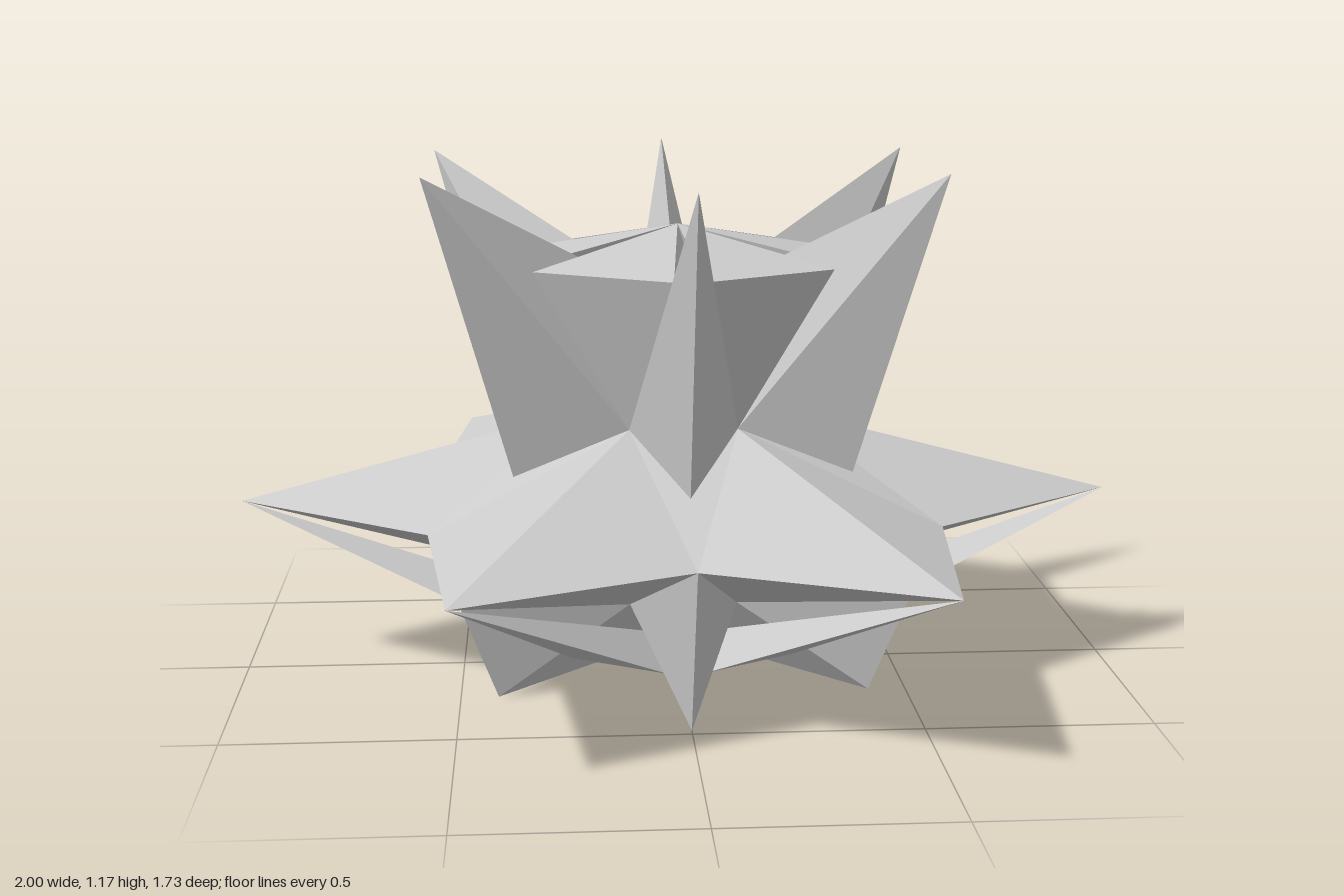
import * as THREE from 'three';
import { ConvexGeometry } from 'three/addons/geometries/ConvexGeometry.js';

const STEP = Math.PI / 3;

// Point at a radius, height and angle around the vertical axis
const polar = (r, y, a) => new THREE.Vector3(r * Math.cos(a), y, r * Math.sin(a));

export function createModel() {
  const group = new THREE.Group();
  const material = new THREE.MeshStandardMaterial({ color: 0xcccccc, flatShading: true, side: THREE.DoubleSide });

  const addSolid = (name, points) => {
    const mesh = new THREE.Mesh(new ConvexGeometry(points), material);
    mesh.name = name;
    group.add(mesh);
  };

  // Shared corners
  const upper = (a) => polar(0.24, 0.6, a);
  const lower = (a) => polar(0.24, 0.2, a);
  const notch = (a) => polar(0.647, 0.4, a);
  const starTip = (a) => polar(1, 0.4, a);
  const axis = (y) => new THREE.Vector3(0, y, 0);

  // Corner of a petal: distance out along the arm, and sideways
  const petalCorner = (out, side, y, a) => polar(Math.hypot(out, side), y, a + Math.atan2(side, out));

  // Core joining the arms
  const core = [];
  for (let i = 0; i < 6; i++) {
    const a = i * STEP;
    core.push(upper(a), lower(a), notch(a + STEP / 2));
  }
  addSolid('core', core);

  for (let i = 0; i < 6; i++) {
    const a = i * STEP;
    const mid = a + STEP / 2;
    const next = a + STEP;

    // Wide horizontal star arm
    addSolid('starArm', [starTip(a), notch(a - STEP / 2), notch(mid), upper(a), lower(a)]);

    // Tall spike leaning outward between the arms
    addSolid('upperSpike', [polar(0.645, 1.17, mid), polar(0.434, 0.5, mid), upper(a), upper(next), axis(0.84)]);

    // Short spike that the model stands on
    addSolid('footSpike', [polar(0.48, 0, mid), notch(mid), lower(a), lower(next), axis(0.06)]);

    // Crown petal, widening upward
    addSolid('crownPetal', [
      axis(1.03), upper(a),
      petalCorner(0.36, 0.17, 0.955, a), petalCorner(0.36, -0.17, 0.955, a),
    ]);

    // Underside petal, tapering to the arm tip
    addSolid('undersidePetal', [
      axis(0.06), starTip(a),
      petalCorner(0.29, 0.12, 0.07, a), petalCorner(0.29, -0.12, 0.07, a),
    ]);
  }
  return group;
}
